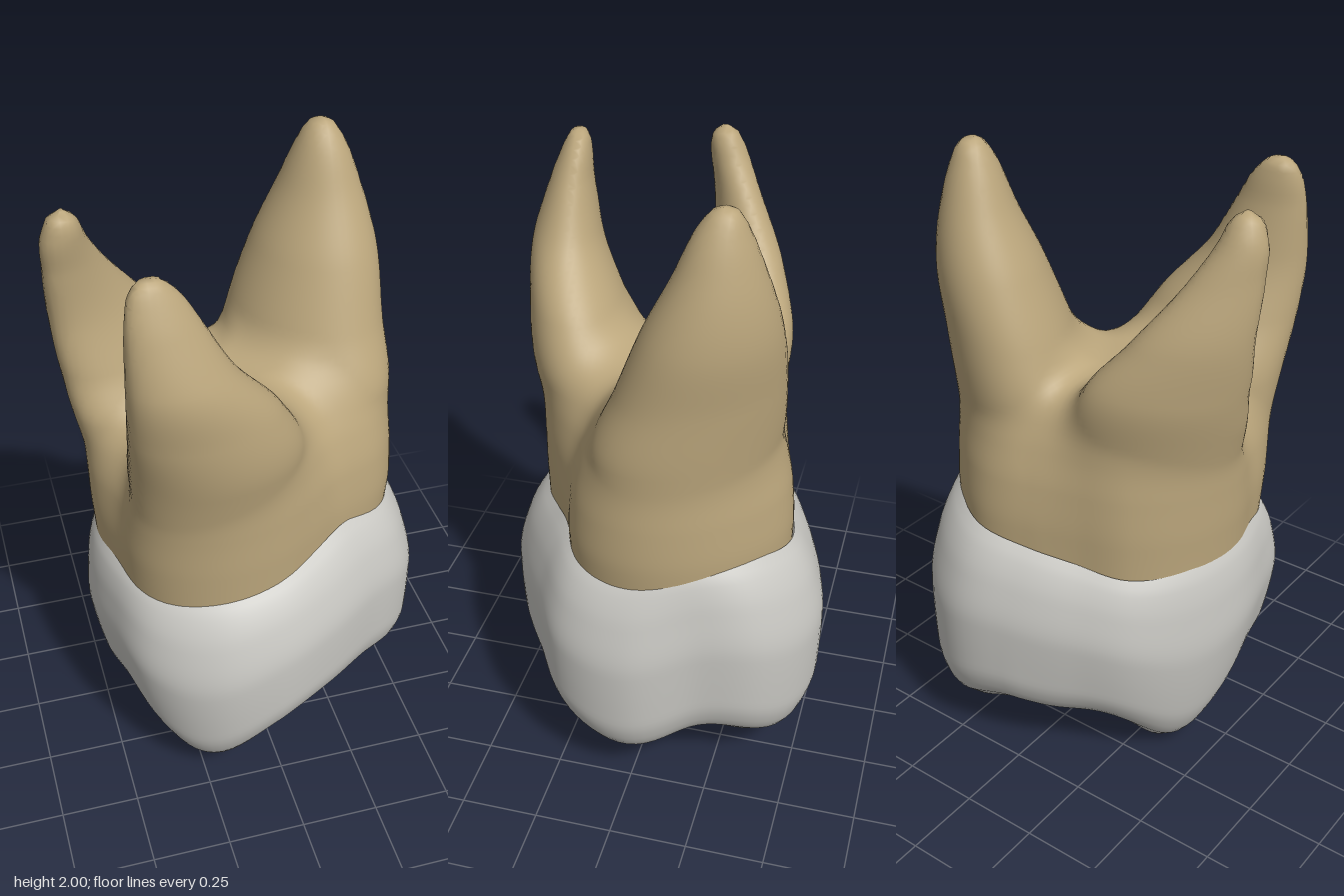
import * as THREE from 'three';

const enamel = new THREE.MeshStandardMaterial({ color: 0xc8c7c2, side: THREE.DoubleSide });
enamel.name = 'enamel grey';
const dentine = new THREE.MeshStandardMaterial({ color: 0xbba67c, side: THREE.DoubleSide });
dentine.name = 'root tan';

// Smooth monotone interpolation of rows [t, a, b, ...]
function sample(rows, t) {
  const last = rows.length - 1;
  if (t <= rows[0][0]) return rows[0].slice(1);
  if (t >= rows[last][0]) return rows[last].slice(1);
  let i = 0;
  while (rows[i + 1][0] < t) i++;
  const h = rows[i + 1][0] - rows[i][0], u = (t - rows[i][0]) / h;
  return rows[i].slice(1).map((_, n) => {
    const c = n + 1;
    const slope = (k) => (rows[k + 1][c] - rows[k][c]) / (rows[k + 1][0] - rows[k][0]);
    const tangent = (k) => {
      if (k === 0) return slope(0);
      if (k === last) return slope(last - 1);
      const a = slope(k - 1), b = slope(k);
      return a * b > 0 ? (2 * a * b) / (a + b) : 0;
    };
    const p = rows[i][c], q = rows[i + 1][c], m = tangent(i) * h, w = tangent(i + 1) * h;
    return p + u * (m + u * (3 * (q - p) - 2 * m - w + u * (2 * (p - q) + m + w)));
  });
}

// Closed curve through values evenly spaced around the tooth (from +x towards +z)
function around(values, angle) {
  const n = values.length, f = (((angle / (2 * Math.PI)) % 1) + 1) % 1 * n;
  const i = Math.floor(f), u = f - i;
  const [a, b, c, d] = [-1, 0, 1, 2].map((k) => values[(i + k + n) % n]);
  return b + 0.5 * u * (c - a + u * (2 * a - 5 * b + 4 * c - d + u * (3 * (b - c) + d - a)));
}

// Widest crown radius, neck radius and neck height, by direction
const outline = [0.58, 0.57, 0.5, 0.495, 0.535, 0.595, 0.6, 0.55, 0.545, 0.535, 0.53, 0.51, 0.53, 0.595, 0.595, 0.54];
const neck = [0.48, 0.455, 0.38, 0.375, 0.415, 0.465, 0.495, 0.49, 0.49, 0.48, 0.455, 0.41, 0.425, 0.48, 0.485, 0.485];
const neckline = [0.81, 0.81, 0.83, 0.8, 0.77, 0.755, 0.75, 0.76, 0.77, 0.75, 0.74, 0.765, 0.79, 0.82, 0.85, 0.85];

// Chewing surface: [x, z, height, spread] of each cusp and ridge, plus the central pit
const cusps = [
  [-0.2, 0.36, 0.195, 0.17], [-0.34, -0.11, 0.225, 0.18],
  [0.25, -0.39, 0.115, 0.16], [0.39, 0.01, 0.135, 0.17],
  [-0.06, -0.33, 0.05, 0.14], [-0.34, 0.13, 0.04, 0.13], [0.1, -0.08, -0.07, 0.14],
];
const chewing = (x, z) => cusps.reduce(
  (y, [cx, cz, h, s]) => y - h * Math.exp(-((x - cx) ** 2 + (z - cz) ** 2) / (s * s)), 0.22);

function makeCrown() {
  const wall = [[0, 0.82], [0.05, 0.87], [0.2, 0.945], [0.45, 1], [0.75, 0.99], [0.9, 0.94], [1, 0.82]];
  const sides = 112, wallRings = 28, topRings = 22, rings = wallRings + topRings;
  const position = [], index = [];
  for (let i = 0; i <= rings; i++) {
    const v = Math.min(1, i / wallRings), inward = Math.max(0, i - wallRings) / topRings;
    for (let j = 0; j < sides; j++) {
      const a = (j / sides) * 2 * Math.PI, R = around(outline, a);
      const taper = 0.17 * Math.max(0, -Math.cos(a));
      const rim = R * (0.82 - taper);
      const fit = (0.985 * around(neck, a) - 0.82 * R) * (1 - v) ** 5;
      const r = i <= wallRings ? R * (sample(wall, v)[0] - taper * v * v) + fit : rim * (1 - inward);
      const x = r * Math.cos(a), z = r * Math.sin(a);
      const rimY = chewing(rim * Math.cos(a), rim * Math.sin(a));
      const y = i <= wallRings ? THREE.MathUtils.lerp(around(neckline, a), rimY, v) : chewing(x, z);
      position.push(x, y, z);
      if (i < rings) {
        const p = i * sides + j, q = i * sides + (j + 1) % sides;
        index.push(p, q, p + sides, q, q + sides, p + sides);
      }
    }
  }
  const geometry = new THREE.BufferGeometry();
  geometry.setAttribute('position', new THREE.Float32BufferAttribute(position, 3));
  geometry.setIndex(index);
  geometry.computeVertexNormals();
  return geometry;
}

// Roots: elliptical sections [y, centre x, centre z, long radius, short radius]
const roots = [
  { turn: 0.9, rows: [[0.6, 0.2, -0.08, 0.24, 0.2], [0.9, 0.225, -0.09, 0.3, 0.225], [1.2, 0.235, -0.12, 0.305, 0.22],
    [1.4, 0.255, -0.165, 0.265, 0.195], [1.6, 0.288, -0.2, 0.213, 0.167], [1.8, 0.31, -0.225, 0.132, 0.11],
    [1.92, 0.313, -0.23, 0.08, 0.07], [1.98, 0.313, -0.235, 0.04, 0.037], [2.004, 0.313, -0.235, 0.001, 0.001]] },
  { turn: -0.18, rows: [[0.6, -0.12, 0.2, 0.24, 0.18], [0.9, -0.14, 0.23, 0.27, 0.19], [1.2, -0.155, 0.285, 0.275, 0.195],
    [1.4, -0.205, 0.36, 0.235, 0.15], [1.6, -0.285, 0.407, 0.157, 0.107], [1.75, -0.325, 0.4, 0.112, 0.07],
    [1.84, -0.345, 0.388, 0.08, 0.048], [1.89, -0.355, 0.383, 0.044, 0.028], [1.905, -0.355, 0.383, 0.001, 0.001]] },
  { turn: -0.62, rows: [[0.6, -0.2, -0.08, 0.22, 0.15], [1, -0.25, -0.11, 0.26, 0.17], [1.2, -0.29, -0.14, 0.265, 0.16],
    [1.35, -0.34, -0.17, 0.24, 0.13], [1.5, -0.41, -0.157, 0.18, 0.1], [1.7, -0.484, -0.102, 0.105, 0.067],
    [1.82, -0.51, -0.065, 0.067, 0.057], [1.88, -0.51, -0.055, 0.04, 0.036], [1.9, -0.51, -0.055, 0.001, 0.001]] },
];
const trunk = [[0.6, 0.975], [0.85, 0.97], [1.0, 0.93], [1.12, 0.83], [1.25, 0.62], [1.34, 0.45]];
const trunkTop = 1.31;

const blend = (a, b, k) => Math.min(a, b) - (Math.max(0, k - Math.abs(a - b)) ** 2) / (4 * k);

// Signed distance to the trunk with the three roots melted into it
function rootField(x, y, z) {
  const s = around(neck, Math.atan2(z, x)) * sample(trunk, y)[0];
  let d = -blend(s - Math.hypot(x, z), trunkTop - y, 0.12);
  for (const { turn, rows } of roots) {
    const [cx, cz, ra, rb] = sample(rows, y), c = Math.cos(turn), n = Math.sin(turn);
    const u = (x - cx) * c + (z - cz) * n, w = (z - cz) * c - (x - cx) * n;
    const e = (Math.hypot(u / ra, w / rb) - 1) * Math.min(ra, rb);
    d = blend(d, Math.max(e, y - rows[rows.length - 1][0]), 0.1);
  }
  return d;
}

// Skin a signed field with quads, one vertex for each grid cell the surface crosses
function skin(field, min, size, step) {
  const n = size.map((s) => Math.ceil(s / step) + 1);
  const stride = [1, n[0], n[0] * n[1]];
  const value = new Float32Array(n[0] * n[1] * n[2]);
  const vertex = new Int32Array(value.length).fill(-1);
  const position = [], normal = [], index = [];
  const eachNode = (shrink, visit) => {
    for (let k = 0; k < n[2] - shrink; k++)
      for (let j = 0; j < n[1] - shrink; j++)
        for (let i = 0; i < n[0] - shrink; i++) visit([i, j, k], i + j * stride[1] + k * stride[2]);
  };
  eachNode(0, (g, id) => { value[id] = field(...g.map((c, a) => min[a] + c * step)); });
  eachNode(1, (g, id) => {
    const sum = [0, 0, 0];
    let count = 0;
    for (let corner = 0; corner < 8; corner++) {
      const bits = [corner & 1, (corner >> 1) & 1, corner >> 2];
      const p = id + bits[0] + bits[1] * stride[1] + bits[2] * stride[2];
      for (let a = 0; a < 3; a++) {
        if (bits[a] || value[p] < 0 === value[p + stride[a]] < 0) continue;
        const t = value[p] / (value[p] - value[p + stride[a]]);
        for (let b = 0; b < 3; b++) sum[b] += bits[b] + (a === b ? t : 0);
        count++;
      }
    }
    if (!count) return;
    vertex[id] = position.length / 3;
    const p = g.map((c, a) => min[a] + (c + sum[a] / count) * step);
    const e = 0.015;
    const slope = new THREE.Vector3(
      field(p[0] + e, p[1], p[2]) - field(p[0] - e, p[1], p[2]),
      field(p[0], p[1] + e, p[2]) - field(p[0], p[1] - e, p[2]),
      field(p[0], p[1], p[2] + e) - field(p[0], p[1], p[2] - e)).normalize();
    position.push(...p);
    normal.push(slope.x, slope.y, slope.z);
  });
  eachNode(1, (g, id) => {
    for (let a = 0; a < 3; a++) {
      const b = (a + 1) % 3, c = (a + 2) % 3, inside = value[id] < 0;
      if (!g[b] || !g[c] || inside === value[id + stride[a]] < 0) continue;
      const q = [id, id - stride[b], id - stride[b] - stride[c], id - stride[c]].map((v) => vertex[v]);
      if (q.includes(-1)) continue;
      if (!inside) q.reverse();
      index.push(q[0], q[1], q[2], q[0], q[2], q[3]);
    }
  });
  const geometry = new THREE.BufferGeometry();
  geometry.setAttribute('position', new THREE.Float32BufferAttribute(position, 3));
  geometry.setAttribute('normal', new THREE.Float32BufferAttribute(normal, 3));
  geometry.setIndex(index);
  return geometry;
}

export function createModel() {
  const model = new THREE.Group();
  model.name = 'molar';
  const crown = new THREE.Mesh(makeCrown(), enamel);
  crown.name = 'crown';
  const rootMesh = new THREE.Mesh(skin(rootField, [-0.66, 0.66, -0.62], [1.3, 1.4, 1.24], 0.022), dentine);
  rootMesh.name = 'roots';
  model.add(crown, rootMesh);
  return model;
}
